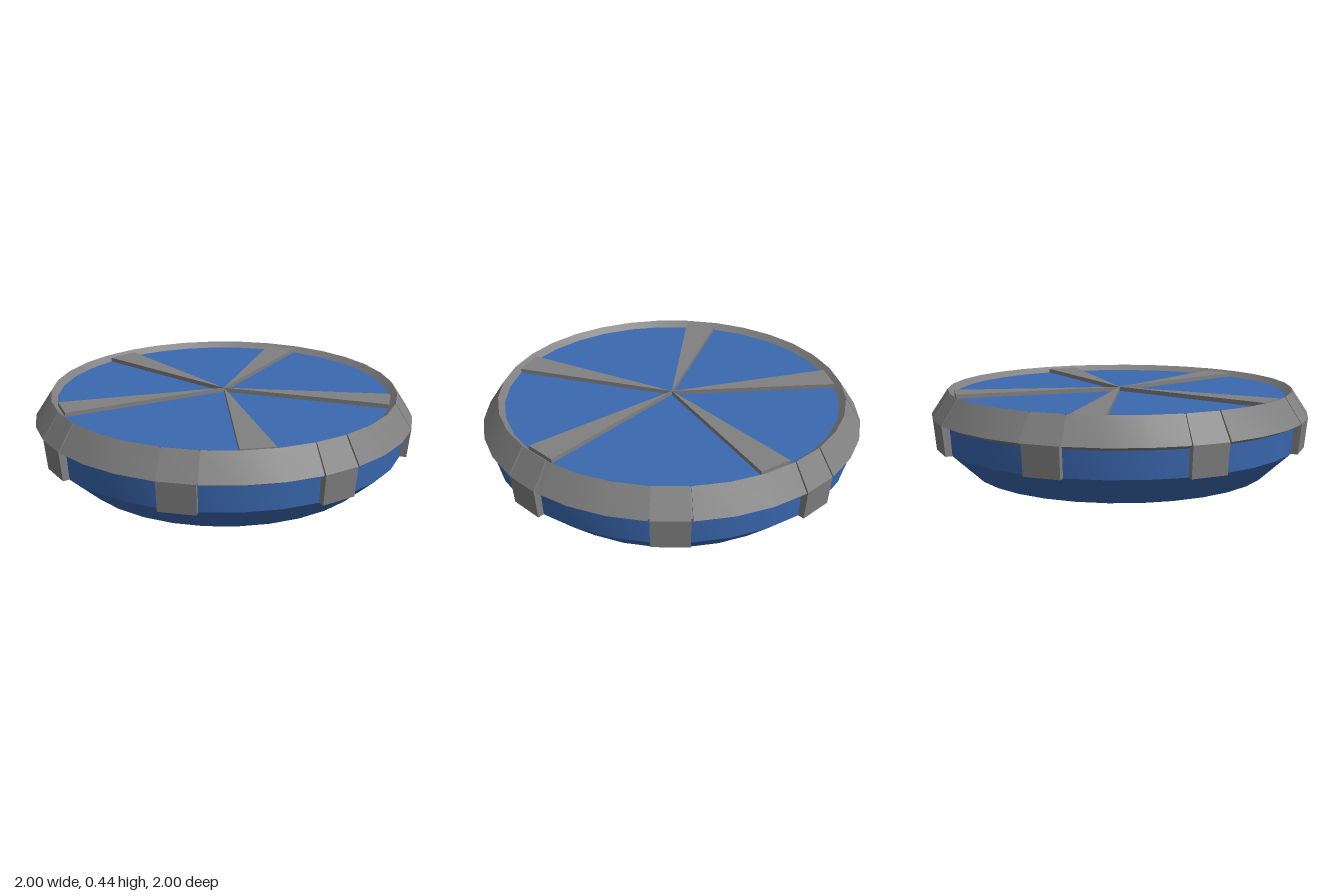
import * as THREE from 'three';
import { mergeGeometries, toCreasedNormals } from 'three/addons/utils/BufferGeometryUtils.js';

const STEP = 11.25; // one side of the 32-sided outline, in degrees
const rad = THREE.MathUtils.degToRad;
const blue = new THREE.MeshStandardMaterial({ color: 0x3a68b0 });
const grey = new THREE.MeshStandardMaterial({ color: 0x808080 });

// Flat end of a swept section, standing at the given angle
function endCap(points, angle, flip) {
  const cap = new THREE.ShapeGeometry(new THREE.Shape(points));
  cap.rotateY(angle - Math.PI / 2);
  if (flip) cap.index.array.reverse();
  return cap;
}

// Sweeps a (radius, height) profile around y; angles run from +z towards +x
function sweep(profile, start = 0, span = 360, sides = 32) {
  const points = profile.map(([r, y]) => new THREE.Vector2(r, y));
  const a = rad(start), b = rad(span);
  const parts = [new THREE.LatheGeometry([...points, points[0].clone()], sides, a, b)];
  if (span < 360) parts.push(endCap(points, a, false), endCap(points, a + b, true));
  const merged = mergeGeometries(parts.map((g) => g.toNonIndexed()));
  return toCreasedNormals(merged, rad(20));
}

export function createModel() {
  const model = new THREE.Group();
  const add = (name, geometry, material) => {
    const mesh = new THREE.Mesh(geometry, material);
    mesh.name = name;
    model.add(mesh);
  };

  // Dish with a chamfered underside and flat top
  add('body', sweep([[0, 0], [0.79, 0], [0.95, 0.15], [0.96, 0.3], [0.88, 0.405], [0, 0.405]]), blue);

  // Inner ring seen through the grooves and as the inner bevel
  add('rimCore', sweep([[0.88, 0.4], [0.93, 0.295], [0.95, 0.295], [0.985, 0.307], [0.907, 0.43], [0.913, 0.435], [0.88, 0.405]]), grey);

  // Rim panels alternate with clamps, separated by narrow grooves
  const gap = 0.25;
  const panel = [[0.93, 0.285], [0.96, 0.285], [1, 0.305], [0.913, 0.435], [0.9, 0.41]];
  const clamp = [[0.93, 0.15], [0.985, 0.15], [1, 0.305], [0.913, 0.435], [0.9, 0.41], [0.93, 0.3]];
  for (let i = 0; i < 8; i++) {
    const start = STEP + i * 45;
    add('rimClamp', sweep(clamp, start + gap, STEP - 2 * gap, 1), grey);
    add('rimPanel', sweep(panel, start + STEP + gap, 3 * STEP - 2 * gap, 3), grey);
  }

  // Raised wedge spokes on the top face
  const spoke = [[0, 0.395], [0.88, 0.395], [0.88, 0.427], [0, 0.427]];
  for (const start of [-90, -STEP, 56.25, 135, 202.5]) {
    add('spoke', sweep(spoke, start, STEP, 1), grey);
  }
  return model;
}
